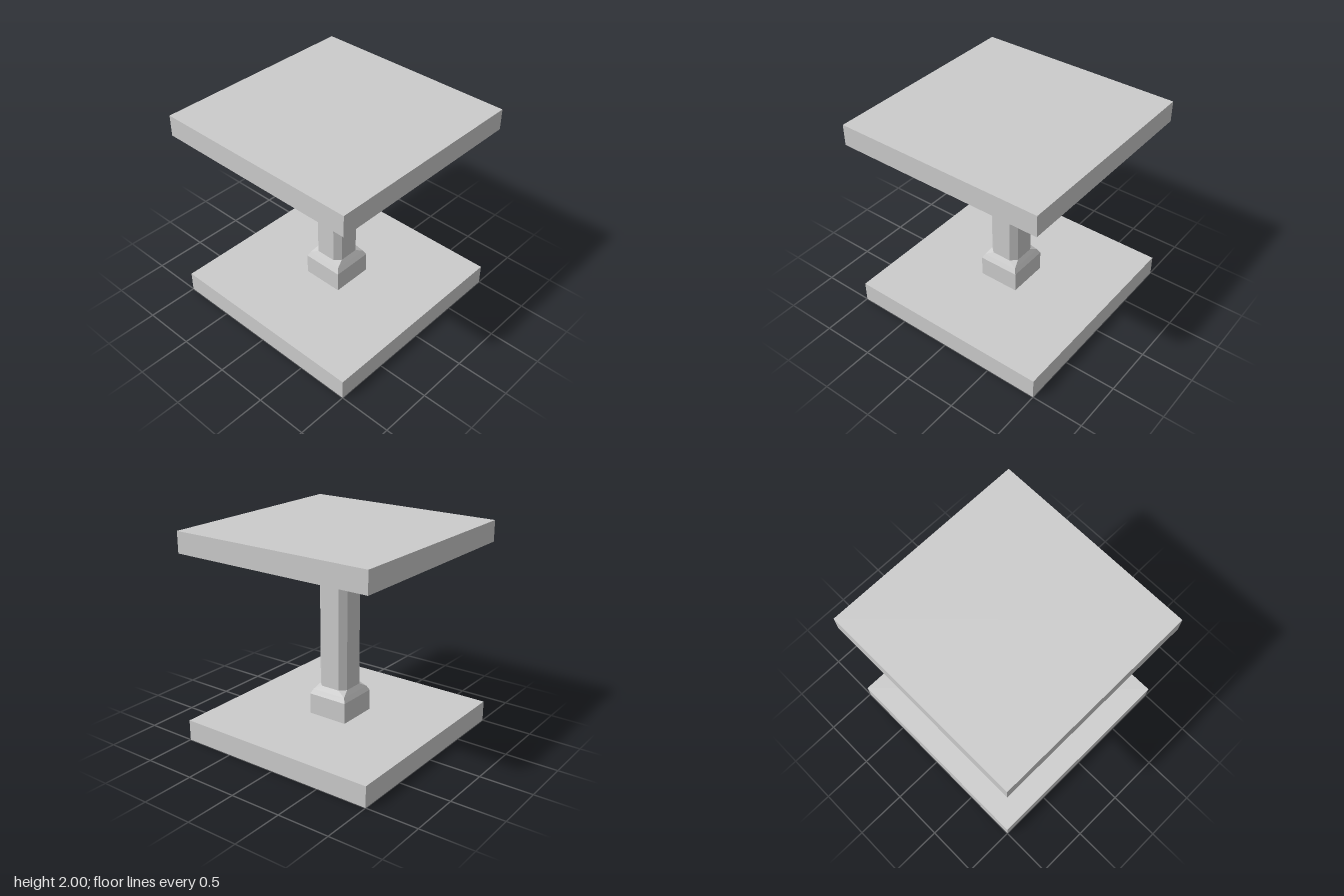
import * as THREE from 'three';

const material = new THREE.MeshStandardMaterial({ color: 0xcccccc, flatShading: true });

// Joins convex cross-sections into a closed, flat-shaded solid
function loft(rings) {
  const positions = [];
  const triangle = (a, b, c) => {
    const normal = b.clone().sub(a).cross(c.clone().sub(a));
    if (normal.length() > 1e-8) for (const p of [a, b, c]) positions.push(p.x, p.y, p.z);
  };
  const n = rings[0].length;
  for (let k = 0; k < rings.length - 1; k++) {
    for (let i = 0; i < n; i++) {
      const j = (i + 1) % n;
      triangle(rings[k][i], rings[k][j], rings[k + 1][j]);
      triangle(rings[k][i], rings[k + 1][j], rings[k + 1][i]);
    }
  }
  const first = rings[0], last = rings[rings.length - 1];
  for (let i = 1; i < n - 1; i++) {
    triangle(first[0], first[i + 1], first[i]);
    triangle(last[0], last[i], last[i + 1]);
  }
  const geometry = new THREE.BufferGeometry();
  geometry.setAttribute('position', new THREE.Float32BufferAttribute(positions, 3));
  geometry.computeVertexNormals();
  return geometry;
}

// Square section of half width h, whose flats reach f from the middle
function columnRing([y, h, f]) {
  return [[h, f], [h, -f], [f, -h], [-f, -h], [-h, -f], [-h, f], [-f, h], [f, h]]
    .map(([x, z]) => new THREE.Vector3(x, y, z));
}

export function createModel() {
  const model = new THREE.Group();
  model.name = 'pillarWithSlabs';
  const add = (name, geometry) => {
    const mesh = new THREE.Mesh(geometry, material);
    mesh.name = name;
    model.add(mesh);
    return mesh;
  };

  // Floor and ceiling slabs
  add('floorSlab', new THREE.BoxGeometry(2, 0.2, 2)).position.y = 0.1;
  add('ceilingSlab', new THREE.BoxGeometry(2, 0.2, 2)).position.y = 1.9;

  // Square base and head, with a chamfered shaft between them
  const lower = [[0.2, 0.2, 0.2], [0.4, 0.2, 0.2], [0.445, 0.177, 0.177], [0.49, 0.153, 0.097]];
  const upper = lower.map(([y, h, f]) => [2 - y, h, f]).reverse();
  add('column', loft([...lower, ...upper].map(columnRing)));

  // Bevelled brackets either side of the column head
  const outer = [[0.2, 1.7], [0.237, 1.7], [0.3, 1.762], [0.3, 1.8], [0.2, 1.8]];
  const inner = [[0.2, 1.728], [0.225, 1.728], [0.272, 1.774], [0.272, 1.8], [0.2, 1.8]];
  const sections = [[inner, -0.2], [outer, -0.172], [outer, 0.172], [inner, 0.2]];
  const bracket = loft(sections.map(([profile, z]) =>
    profile.map(([x, y]) => new THREE.Vector3(x, y, z))));
  add('leftBracket', bracket);
  add('rightBracket', bracket).rotation.y = Math.PI;

  return model;
}
